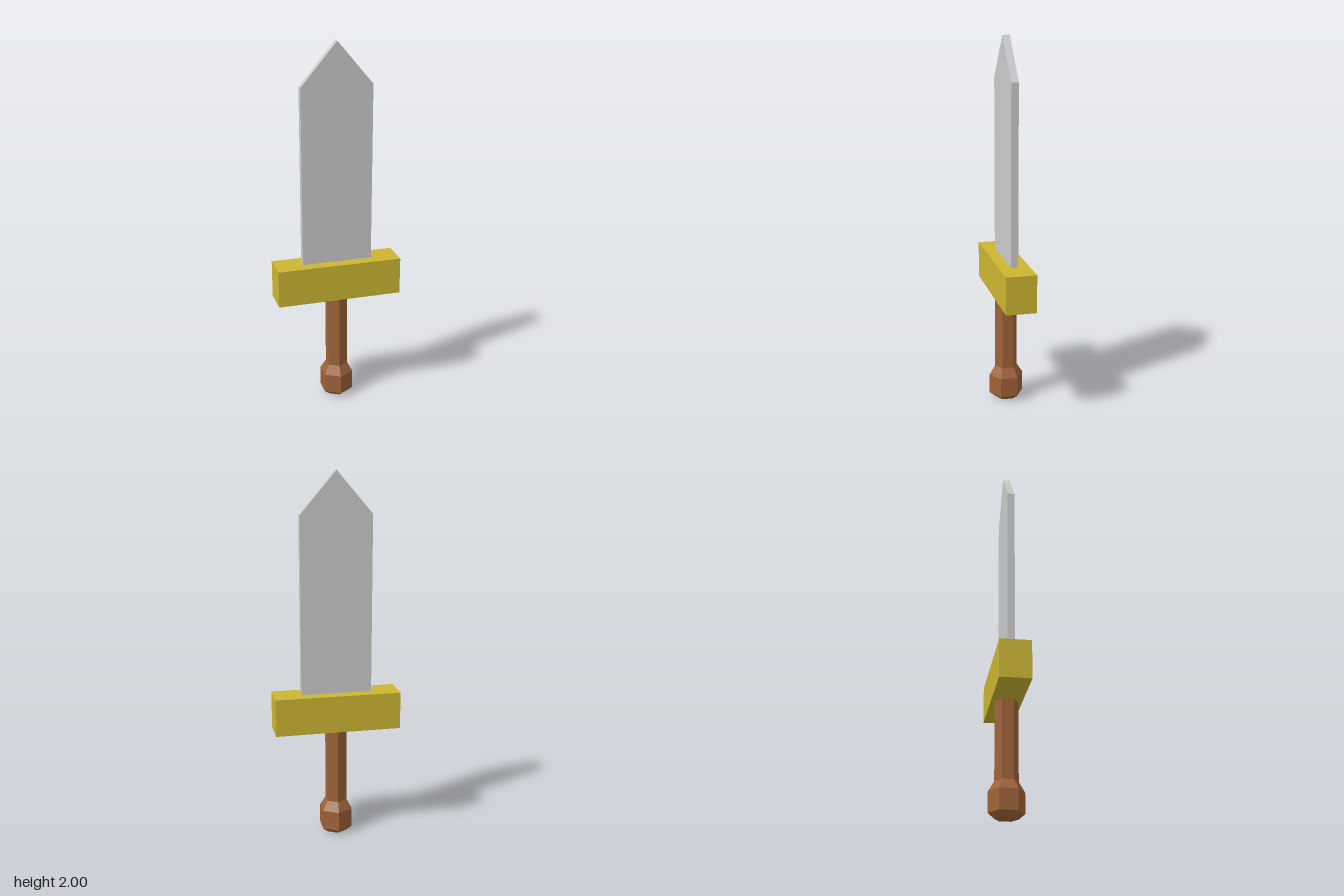
import * as THREE from 'three';

const material = (color) => new THREE.MeshStandardMaterial({ color, flatShading: true });

function addPart(group, name, geometry, color) {
  const mesh = new THREE.Mesh(geometry, material(color));
  mesh.name = name;
  group.add(mesh);
  return mesh;
}

export function createModel() {
  const sword = new THREE.Group();
  sword.name = 'sword';

  // Flat blade with a pointed tip
  const halfWidth = 0.193, thickness = 0.039;
  const outline = new THREE.Shape([
    [-halfWidth, 0.8], [halfWidth, 0.8], [halfWidth, 1.775], [0, 2], [-halfWidth, 1.775],
  ].map(([x, y]) => new THREE.Vector2(x, y)));
  const blade = new THREE.ExtrudeGeometry(outline, { depth: thickness, bevelEnabled: false });
  blade.translate(0, 0, -thickness / 2 - 0.001);
  addPart(sword, 'blade', blade, 0xcccccc);

  // Crossguard block
  const guard = addPart(sword, 'crossguard', new THREE.BoxGeometry(0.686, 0.204, 0.164), 0xccb632);
  guard.position.set(0, 0.712, -0.001);

  // Six-sided grip flaring into the pommel
  const profile = [
    [0, 0], [0.06, 0], [0.094, 0.028], [0.094, 0.136], [0.062, 0.188], [0.062, 0.62],
  ].map(([r, y]) => new THREE.Vector2(r, y));
  addPart(sword, 'gripAndPommel', new THREE.LatheGeometry(profile, 6), 0x9e6237);

  return sword;
}
